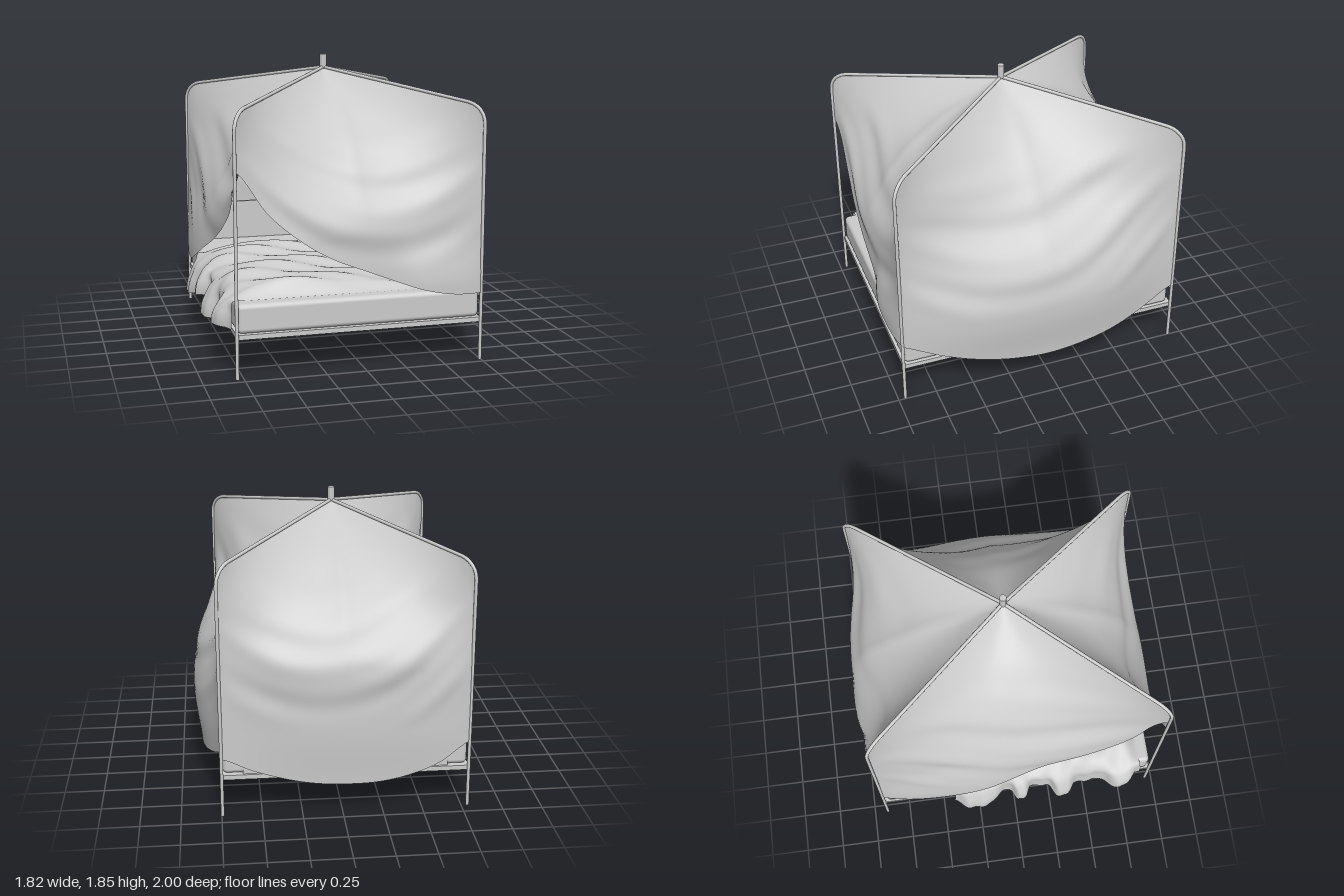
import * as THREE from 'three';
import { RoundedBoxGeometry } from 'three/addons/geometries/RoundedBoxGeometry.js';

const X0 = -0.79, X1 = 0.745, Z0 = -0.91, Z1 = 0.955; // post positions
const CX = -0.02, CZ = 0.02;                          // roof apex
const APEX_Y = 1.765, EAVE_Y = 1.605, BEND_Y = 1.48;
const { smoothstep } = THREE.MathUtils;

const metal = new THREE.MeshStandardMaterial({ color: 0xcccccc });
const fabric = new THREE.MeshStandardMaterial({ color: 0xcccccc, side: THREE.DoubleSide });

function add(group, name, geometry, x = 0, y = 0, z = 0, material = metal) {
  const mesh = new THREE.Mesh(geometry, material);
  mesh.name = name;
  mesh.position.set(x, y, z);
  group.add(mesh);
}

// Smooth grid surface from a rule (u, v) -> [x, y, z]
function sheet(nu, nv, rule) {
  const pos = [], idx = [];
  for (let i = 0; i <= nu; i++) {
    for (let j = 0; j <= nv; j++) {
      pos.push(...rule(i / nu, j / nv));
      if (i < nu && j < nv) {
        const a = i * (nv + 1) + j, b = a + nv + 1;
        idx.push(a, a + 1, b, b, a + 1, b + 1);
      }
    }
  }
  const g = new THREE.BufferGeometry();
  g.setAttribute('position', new THREE.Float32BufferAttribute(pos, 3));
  g.setIndex(idx);
  g.computeVertexNormals();
  return g;
}

// Height of the bent roof rod at r = 0 (apex) .. 1 (post)
function rodY(r) {
  if (r < 0.9) return APEX_Y - (APEX_Y - EAVE_Y) * r / 0.9;
  const k = (r - 0.9) / 0.1;
  return BEND_Y + (EAVE_Y - BEND_Y) * Math.sqrt(Math.max(0, 1 - k * k));
}

// One canopy panel: hangs from two rods, sags inward, then billows past the posts.
// s runs along the side, d outward from the apex; hem = heights at even steps;
// fall = how far down it reaches the post plane;
// swell = [size, centre, half width, start, full] of the billow.
function panel({ s0, s1, c, depth, hem, fall, swell, fold, place }) {
  const hemCurve = new THREE.SplineCurve(hem.map((y, i) => new THREE.Vector2(i, y)));
  const [size, centre, width, start, full] = swell;
  return sheet(72, 60, (u, v) => {
    const r = Math.sin((u - 0.5) * Math.PI), a = Math.abs(r);
    const s = c + a * (r < 0 ? s0 - c : s1 - c);
    const top = rodY(a) - 0.004;
    const y = top + (hemCurve.getPoint((r + 1) / 2).y - top) * v;
    const k = (top - y) / (top - 0.3);
    const f = 1 - Math.pow(Math.max(0, 1 - k / fall), 1.7 * (1 + 0.5 * a ** 4));
    const soft = Math.min(1, Math.hypot(a, 0.2 * smoothstep(k, 0, 0.25) * (1 - a))); // rounds the apex crease
    const billow = size * Math.sqrt(1 - r * r) * Math.exp(-(((r - centre) / width) ** 4))
      * (smoothstep(k, start, full) - 0.25 * smoothstep(k, 0.82, 1.1));
    const q = y - 0.4 * r * r + 0.08 * r;             // folds swag down mid panel
    const ripple = fold * Math.min(1, (1 - r * r) * 1.4)
      * smoothstep(k, 0.08, 0.3) * (1 - smoothstep(k, 0.55, 0.85))
      * (Math.sin(q * 16) + 0.35 * Math.sin(q * 33 + r * 3));
    return place(s, y, depth * (soft + (1 - soft) * f) + billow + ripple);
  });
}

export function createModel() {
  const model = new THREE.Group();

  // Four posts, each bending into a roof rod that meets the apex
  for (const x of [X0, X1]) {
    for (const z of [Z0, Z1]) {
      const at = (r, y) => new THREE.Vector3(CX + (x - CX) * r, y, CZ + (z - CZ) * r);
      const path = new THREE.CurvePath();
      path.add(new THREE.LineCurve3(at(1, 0), at(1, BEND_Y)));
      path.add(new THREE.CubicBezierCurve3(
        at(1, BEND_Y), at(1, BEND_Y + 0.07), at(0.95, EAVE_Y - 0.009), at(0.9, EAVE_Y)));
      path.add(new THREE.LineCurve3(at(0.9, EAVE_Y), at(0, APEX_Y)));
      add(model, 'postAndRoofRod', new THREE.TubeGeometry(path, 90, 0.011, 10));
      add(model, 'postFoot', new THREE.CylinderGeometry(0.011, 0.011, 0.01, 10), x, 0.005, z);
    }
  }
  add(model, 'apexPin', new THREE.CylinderGeometry(0.022, 0.022, 0.09, 16), CX, 1.805, CZ);

  // Canopy: front and right are drawn up toward the front corner at -x
  const alongX = { s0: X0, s1: X1, c: CX }, alongZ = { s0: Z0, s1: Z1, c: CZ };
  const panels = {
    frontCanopy: {
      ...alongX, depth: Z1 - CZ, fall: 0.64, swell: [0.06, 0.72, 0.4, 0.6, 0.85], fold: 0.011,
      hem: [1.25, 0.99, 0.82, 0.7, 0.62, 0.545, 0.48, 0.44, 0.43],
      place: (s, y, d) => [s, y, CZ + d],
    },
    backCanopy: {
      ...alongX, depth: CZ - Z0, fall: 0.52, swell: [0.08, -0.25, 0.9, 0.2, 0.6], fold: 0.011,
      hem: [0.44, 0.32, 0.25, 0.215, 0.21, 0.22, 0.25, 0.3, 0.38],
      place: (s, y, d) => [s, y, CZ - d],
    },
    leftCanopy: {
      ...alongZ, depth: X1 - CX, fall: 0.66, swell: [0.165, 0.1, 0.95, 0.3, 0.8], fold: 0.014,
      hem: [0.42, 0.33, 0.26, 0.22, 0.2, 0.22, 0.27, 0.34, 0.42],
      place: (s, y, d) => [CX + d, y, s],
    },
    rightCanopy: {
      ...alongZ, depth: CX - X0, fall: 0.7, swell: [0.065, -0.55, 0.6, 0.55, 0.9], fold: 0.011,
      hem: [0.44, 0.4, 0.42, 0.5, 0.61, 0.72, 0.83, 1.0, 1.38],
      place: (s, y, d) => [CX - d, y, s],
    },
  };
  for (const [name, spec] of Object.entries(panels)) add(model, name, panel(spec), 0, 0, 0, fabric);

  // Bed base, mattress, headboard
  const mx = (X0 + X1) / 2, mz = (Z0 + Z1) / 2;
  add(model, 'bedFrame', new THREE.BoxGeometry(X1 - X0, 0.03, Z1 - Z0), mx, 0.257, mz);
  add(model, 'mattress', new RoundedBoxGeometry(1.52, 0.18, 1.83, 4, 0.03), mx, 0.361, mz + 0.005);
  add(model, 'headboard', new THREE.BoxGeometry(1.27, 0.45, 0.03), mx, 0.497, Z0 + 0.03);

  // Rumpled blanket, spilling over the -x edge in gathered folds
  const drape = new THREE.SplineCurve([
    [0.52, 0.452], [0.2, 0.495], [-0.15, 0.525], [-0.45, 0.54], [-0.68, 0.52],
    [-0.8, 0.45], [-0.825, 0.36], [-0.835, 0.26],
  ].map(([x, y]) => new THREE.Vector2(x, y)));
  const gathers = [[-0.27, 0.14], [0.03, 0.05], [0.32, 0.07], [0.72, 0.09]];
  add(model, 'blanket', sheet(110, 50, (u, v) => {
    const z = -0.43 + 1.3 * u, p = drape.getPoint(v);
    const hang = smoothstep(v, 0.6, 0.95);
    const edge = (1 - hang) * smoothstep(Math.abs(u - 0.5), 0.42, 0.5); // ends settle on the mattress
    let out = -0.02;
    for (const [c, w] of gathers) out += 0.085 * Math.exp(-(((z - c) / w) ** 4));
    const wrinkle = 0.012 * Math.sin(z * 13 + p.x * 6) + 0.008 * Math.sin(z * 29 - p.x * 11);
    const lift = (1 - hang) * Math.min(1, v * 4);
    const y = p.y + wrinkle * lift + hang * 0.035 * Math.sin(z * 9 + 1);
    return [
      p.x - hang * out + 0.005 * hang * Math.sin(z * 60),
      y + (Math.min(y, 0.455) - y) * edge,
      z + 0.015 * Math.sin(v * 9) * hang,
    ];
  }), 0, 0, 0, fabric);

  return model;
}
